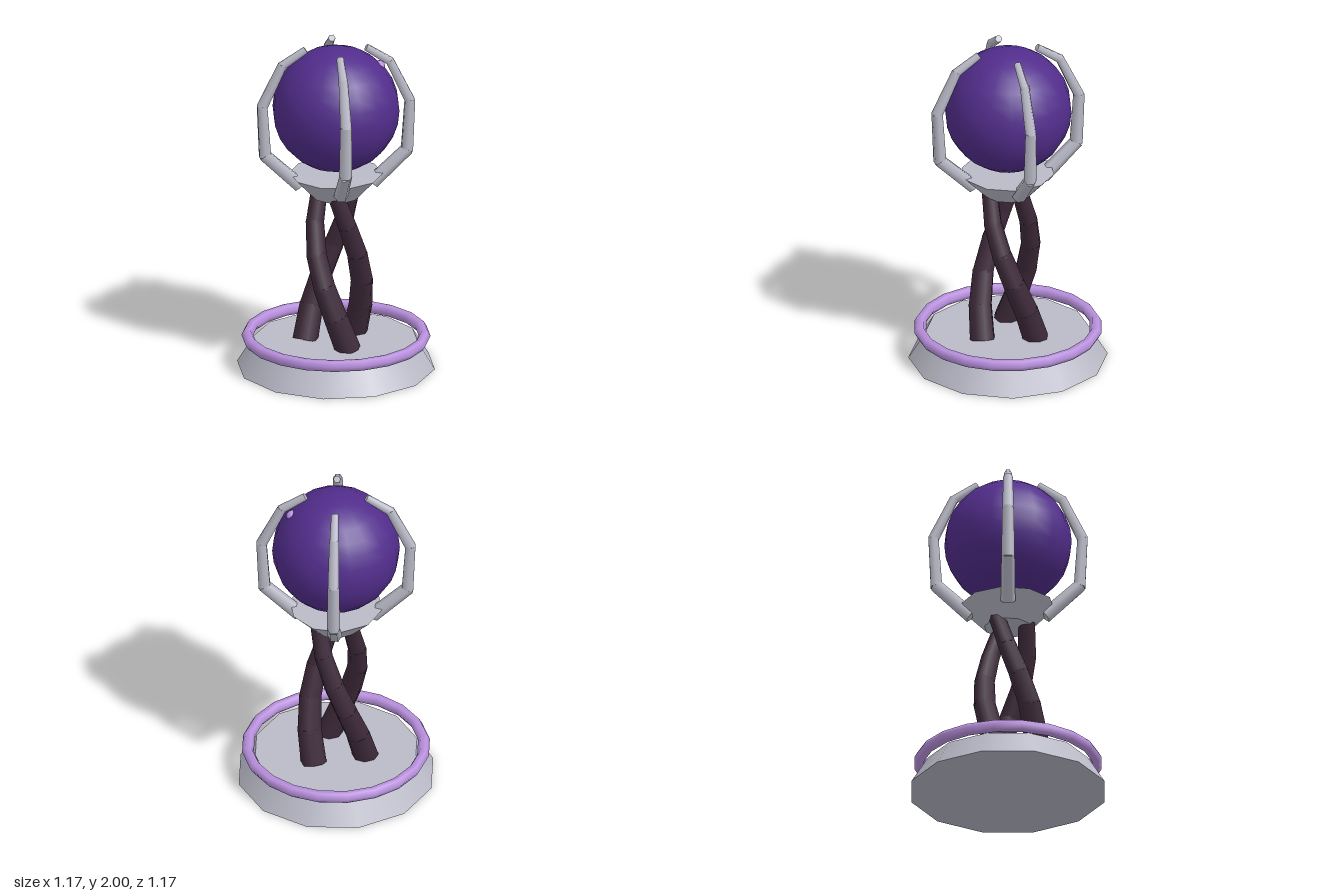
import * as THREE from 'three';

const mat = (name, color) => {
  const m = new THREE.MeshStandardMaterial({ color });
  m.name = name;
  return m;
};

export function createModel() {
  const metal = mat('pale metal', 0xbabbc8);
  const wood = mat('dark wood', 0x3e2a3a);
  const violet = mat('violet orb', 0x522d8c);
  const lilac = mat('lilac trim', 0xbb92e0);
  const model = new THREE.Group();
  model.name = 'orbStand';

  const add = (name, geometry, material, parent = model) => {
    const mesh = new THREE.Mesh(geometry, material);
    mesh.name = name;
    parent.add(mesh);
    return mesh;
  };

  // Chain of straight tapered cylinders through a list of points
  const addChain = (name, points, radii, sides, overlap, material) => {
    const chain = new THREE.Group();
    chain.name = name;
    for (let i = 0; i < points.length - 1; i++) {
      const dir = points[i + 1].clone().sub(points[i]);
      const length = dir.length() + overlap;
      const [bottom, top] = radii(i);
      const part = add(name + 'Segment', new THREE.CylinderGeometry(top, bottom, length, sides), material, chain);
      part.position.copy(points[i]).add(points[i + 1]).multiplyScalar(0.5);
      part.quaternion.setFromUnitVectors(new THREE.Vector3(0, 1, 0), dir.normalize());
    }
    model.add(chain);
    return chain;
  };

  // Tapered foot and the ring floating round its rim
  add('base', new THREE.CylinderGeometry(0.487, 0.585, 0.16, 12), metal).position.y = 0.08;
  const ring = add('baseRing', new THREE.TorusGeometry(0.52, 0.035, 6, 20), lilac);
  ring.rotation.x = Math.PI / 2;
  ring.position.y = 0.185;

  // Three stems twisting round each other
  for (let k = 0; k < 3; k++) {
    const points = [];
    for (let i = 0; i <= 5; i++) {
      const t = i / 5;
      const angle = (k * 120 + 140 * t ** 1.15) * Math.PI / 180;
      const r = 0.18 - 0.07 * t;
      points.push(new THREE.Vector3(r * Math.cos(angle), 0.16 + 0.92 * t, r * Math.sin(angle)));
    }
    const radius = (i) => 0.076 - 0.0055 * i;
    addChain('stem', points, (i) => [radius(i), radius(i + 1)], 8, 0.02, wood);
  }

  // Flared cup under the orb
  add('cup', new THREE.CylinderGeometry(0.275, 0.14, 0.14, 10), metal).position.y = 1.13;

  // Orb with a small glint
  add('orb', new THREE.SphereGeometry(0.375, 18, 14), violet).position.y = 1.605;
  add('glint', new THREE.SphereGeometry(0.035, 8, 6), lilac).position.set(0.195, 1.85, 0.17);

  // Four jointed claws on the diagonals: distance from the axis and height
  const profile = [[0.22, 1.14], [0.42, 1.33], [0.437, 1.635], [0.32, 1.885], [0.185, 1.975]];
  const clawRadii = [[0.043, 0.039], [0.039, 0.034], [0.034, 0.028], [0.027, 0.022]];
  for (let k = 0; k < 4; k++) {
    const points = profile.map(([r, y]) => new THREE.Vector3(r, y, 0));
    const claw = addChain('claw', points, (i) => clawRadii[i], 6, 0.015, metal);
    claw.rotation.y = Math.PI / 4 + k * Math.PI / 2;
  }

  return model;
}
